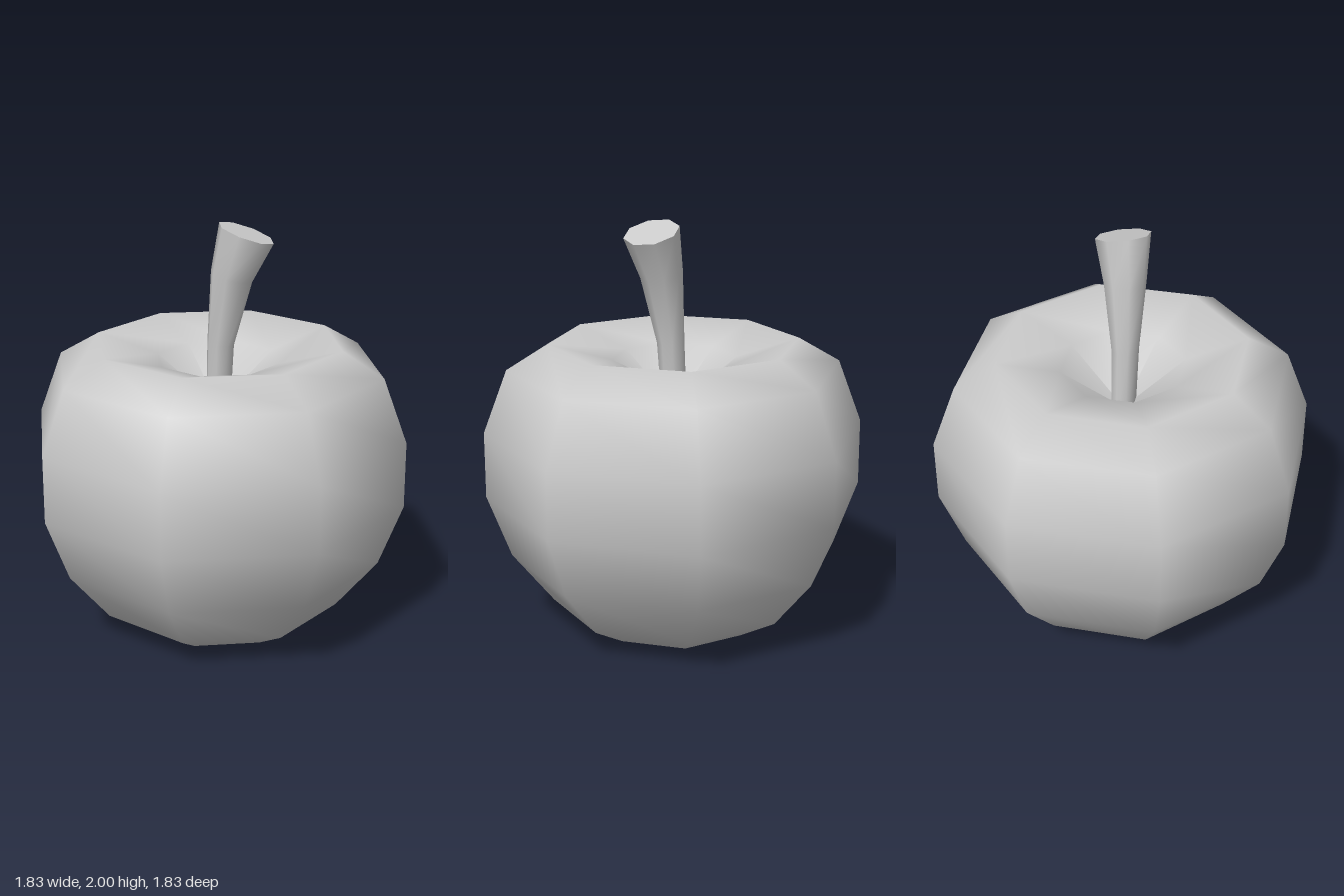
import * as THREE from 'three';
import { toCreasedNormals } from 'three/addons/utils/BufferGeometryUtils.js';

const SIDES = 8;

// Body: one lathed profile with a dimple at the bottom and the top
function makeBody(material) {
  const profile = [
    [0, 0.09], [0.2, 0.002], [0.41, 0.02], [0.6, 0.13], [0.8, 0.375], [0.915, 0.68],
    [0.915, 1.0], [0.8, 1.305], [0.6, 1.423], [0.3, 1.34], [0, 1.1],
  ].map(([r, y]) => new THREE.Vector2(r, y));
  const body = new THREE.Mesh(new THREE.LatheGeometry(profile, SIDES), material);
  body.name = 'appleBody';
  return body;
}

// Stem: a cylinder whose rings are widened, shifted and tilted as they rise
function makeStem(material) {
  const rings = [
    { center: [0, 1.05, 0.0], radius: 0.06, lean: [0, 0] },
    { center: [0.003, 1.42, 0.02], radius: 0.067, lean: [0.04, 0.04] },
    { center: [0.035, 1.75, 0.066], radius: 0.102, lean: [0.16, 0.15] },
    { center: [0.083, 1.957, 0.118], radius: 0.133, lean: [0.27, 0.2] },
  ];
  const last = rings.length - 1;
  const geometry = new THREE.CylinderGeometry(1, 1, 1, SIDES, last);
  const position = geometry.attributes.position;
  for (let i = 0; i < position.count; i++) {
    const { center, radius, lean } = rings[Math.round((position.getY(i) + 0.5) * last)];
    const dx = position.getX(i) * radius * 0.97;
    const dz = position.getZ(i) * radius * 0.98;
    position.setXYZ(i, center[0] + dx, center[1] - dx * lean[0] - dz * lean[1], center[2] + dz);
  }
  // Round sides stay smooth, the cut end stays sharp
  const stem = new THREE.Mesh(toCreasedNormals(geometry, 1), material);
  stem.name = 'stem';
  return stem;
}

export function createModel() {
  const material = new THREE.MeshStandardMaterial({ color: 0xcccccc });
  const apple = new THREE.Group();
  apple.name = 'apple';
  apple.add(makeBody(material), makeStem(material));
  return apple;
}
